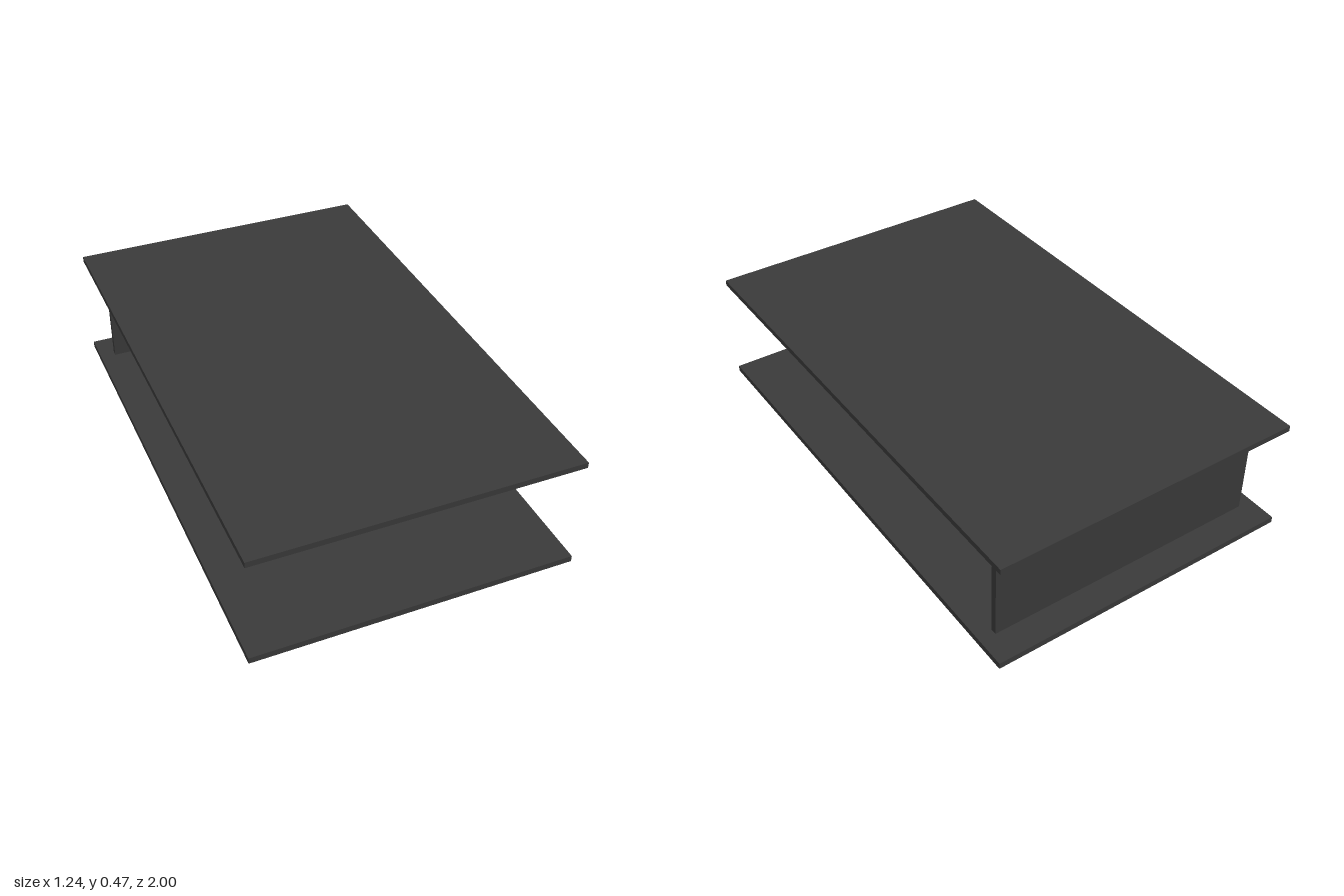
import * as THREE from 'three';

export function createModel() {
  const model = new THREE.Group();
  model.name = 'equipmentRoom';
  const charcoal = new THREE.MeshStandardMaterial({ color: 0x3a3a3a });
  charcoal.name = 'charcoal';

  // Box given by its size, its bottom height and its centre in x and z
  function box(name, parent, w, h, d, x, bottom, z) {
    const mesh = new THREE.Mesh(new THREE.BoxGeometry(w, h, d), charcoal);
    mesh.name = name;
    mesh.position.set(x, bottom + h / 2, z);
    parent.add(mesh);
    return mesh;
  }

  // Room shell: floor, ceiling and back wall
  box('floor', model, 1.244, 0.025, 2, 0, 0, 0);
  box('ceiling', model, 1.244, 0.023, 2, 0, 0.442, 0);
  box('backWall', model, 1.12, 0.397, 0.024, 0, 0.025, -0.875);

  // Two rows of cabinets, each with a stack of front units
  const units = 12, pitch = 0.0285;
  for (const side of [-1, 1]) {
    for (let i = 0; i < 4; i++) {
      const rack = new THREE.Group();
      rack.name = side > 0 ? 'leftRack' : 'rightRack';
      rack.position.set(side * 0.249, 0, 0.251 - i * 0.2617);
      box('cabinet', rack, 0.136, 0.373, 0.172, 0, 0.03, 0);
      for (let u = 0; u < units; u++) {
        box('rackUnit', rack, 0.118, 0.017, 0.007, 0, 0.046 + u * pitch, 0.0885);
      }
      model.add(rack);
    }
  }

  // Narrow light strips under the ceiling
  for (let i = 0; i < 4; i++) {
    box('ceilingLight', model, 0.2, 0.007, 0.02, 0, 0.435, 0.375 - i * 0.375);
  }
  return model;
}
